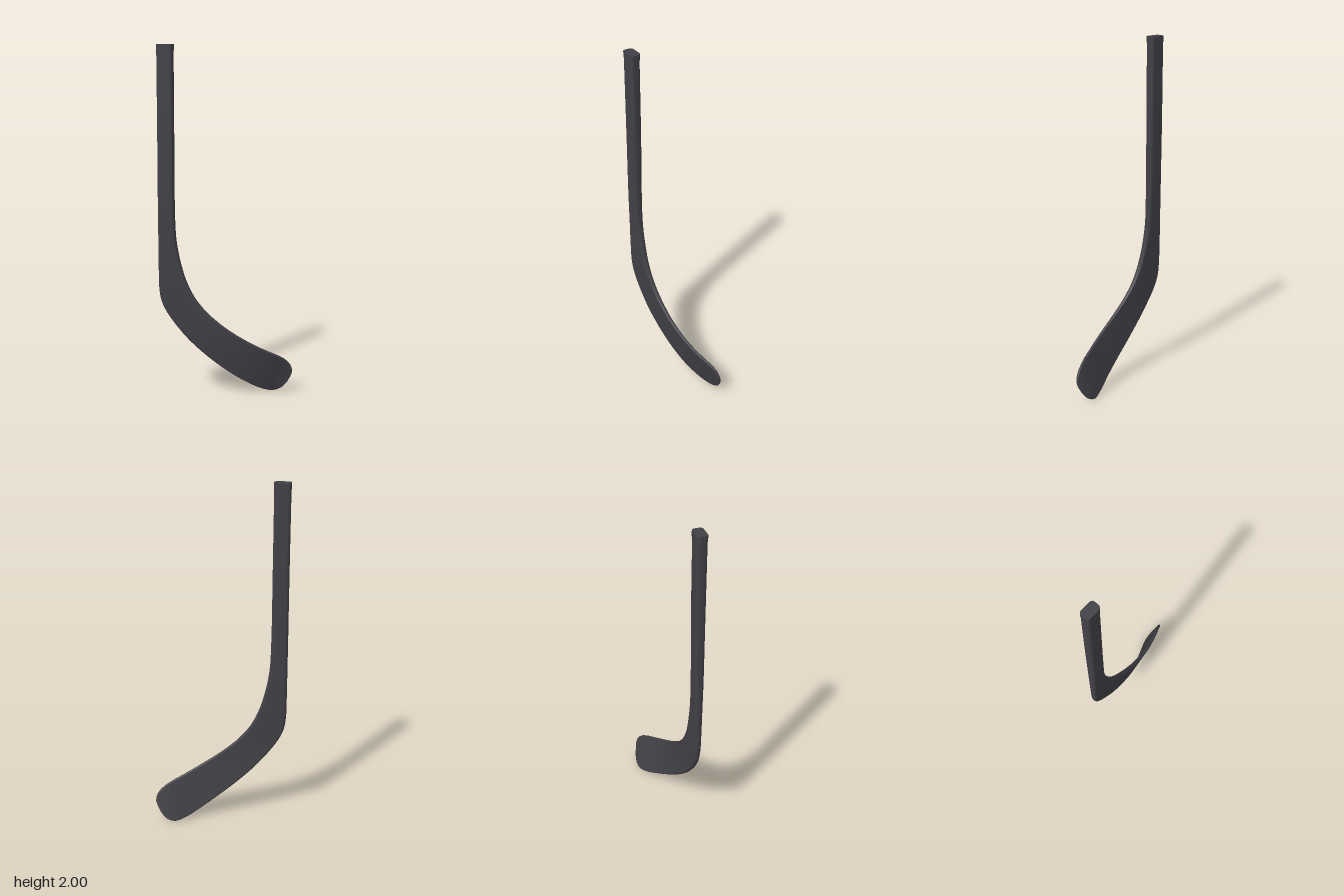
import * as THREE from 'three';

const material = new THREE.MeshStandardMaterial({ color: 0x404046 });
const CORNER = 5; // points per rounded corner

// Rounded-rectangle section in the plane of u (width) and v (thickness)
function ring(center, u, v, width, thick) {
  const r = Math.min(0.018, thick * 0.46, width * 0.46);
  const points = [];
  const corners = [[1, 1], [-1, 1], [-1, -1], [1, -1]];
  corners.forEach(([sx, sy], k) => {
    for (let i = 0; i < CORNER; i++) {
      const a = (k + i / (CORNER - 1)) * Math.PI / 2;
      points.push(center.clone()
        .addScaledVector(u, sx * (width / 2 - r) + r * Math.cos(a))
        .addScaledVector(v, sy * (thick / 2 - r) + r * Math.sin(a)));
    }
  });
  return points;
}

// Smooth loft through rows of [outer xyz, inner xyz, thickness], closed at both ends
function loft(name, rows, stepsPerRow) {
  const curve = (f, type) => new THREE.CatmullRomCurve3(rows.map(f), false, type);
  const outer = curve((r) => new THREE.Vector3(r[0], r[1], r[2]), 'centripetal');
  const inner = curve((r) => new THREE.Vector3(r[3], r[4], r[5]), 'centripetal');
  const thick = curve((r, i) => new THREE.Vector3(r[6], i, 0), 'catmullrom');
  const steps = (rows.length - 1) * stepsPerRow;
  const mid = (t) => outer.getPoint(t).add(inner.getPoint(t)).multiplyScalar(0.5);

  const rings = [];
  for (let s = 0; s <= steps; s++) {
    const t = s / steps;
    const u = inner.getPoint(t).sub(outer.getPoint(t));
    const width = u.length();
    u.normalize();
    const tangent = mid(Math.min(1, t + 0.005)).sub(mid(Math.max(0, t - 0.005)));
    const v = tangent.cross(u).normalize();
    rings.push(ring(mid(t), u, v, width, thick.getPoint(t).x));
  }

  const n = rings[0].length;
  const points = rings.flat();
  const index = [];
  for (let s = 0; s < steps; s++) {
    for (let j = 0; j < n; j++) {
      const a = s * n + j, b = s * n + (j + 1) % n;
      index.push(a, b, b + n, a, b + n, a + n);
    }
  }
  // End faces have their own vertices so their rims stay crisp
  const cap = (loop, flip) => {
    const base = points.length;
    points.push(...loop);
    for (let j = 1; j < n - 1; j++) {
      if (flip) index.push(base, base + j + 1, base + j);
      else index.push(base, base + j, base + j + 1);
    }
  };
  cap(rings[0], true);
  cap(rings[steps], false);

  const geometry = new THREE.BufferGeometry().setFromPoints(points);
  geometry.setIndex(index);
  geometry.computeVertexNormals();
  const mesh = new THREE.Mesh(geometry, material);
  mesh.name = name;
  return mesh;
}

export function createModel() {
  const group = new THREE.Group();
  group.name = 'hockeyStick';

  // Slightly thicker cap at the top of the shaft
  group.add(loft('buttCap', [
    [-0.38, 2, 0.06, -0.285, 2, 0.06, 0.061],
    [-0.38, 1.965, 0.06, -0.285, 1.965, 0.06, 0.061],
  ], 1));

  // Shaft, flowing through the heel
  const shaft = [
    [-0.379, 1.965, 0.06, -0.286, 1.965, 0.06, 0.057],
    [-0.379, 1.5, 0.06, -0.286, 1.5, 0.06, 0.055],
    [-0.38, 1.1, 0.062, -0.285, 1.1, 0.062, 0.049],
    [-0.38, 0.9, 0.062, -0.278, 0.92, 0.061, 0.044],
    [-0.38, 0.75, 0.062, -0.258, 0.8, 0.06, 0.04],
    [-0.378, 0.63, 0.062, -0.22, 0.67, 0.06, 0.035],
    [-0.365, 0.55, 0.06, -0.17, 0.57, 0.058, 0.031],
  ];
  // Curved, twisting blade ending in a rounded toe
  const blade = [
    [-0.33, 0.478, 0.058, -0.1, 0.485, 0.055, 0.027],
    [-0.27, 0.395, 0.055, -0.03, 0.424, 0.051, 0.024],
    [-0.2, 0.315, 0.049, 0.03, 0.38, 0.046, 0.022],
    [-0.1, 0.222, 0.035, 0.1, 0.335, 0.036, 0.02],
    [0, 0.143, 0.016, 0.165, 0.297, 0.022, 0.019],
    [0.1, 0.074, -0.012, 0.225, 0.265, 0.004, 0.018],
    [0.2, 0.018, -0.053, 0.285, 0.235, -0.016, 0.018],
    [0.265, 0.001, -0.079, 0.33, 0.208, -0.035, 0.017],
    [0.31, 0.017, -0.083, 0.358, 0.181, -0.046, 0.016],
    [0.343, 0.05, -0.077, 0.373, 0.153, -0.054, 0.014],
    [0.366, 0.09, -0.068, 0.378, 0.124, -0.061, 0.01],
  ];
  group.add(loft('shaftAndBlade', [...shaft, ...blade], 6));
  return group;
}
